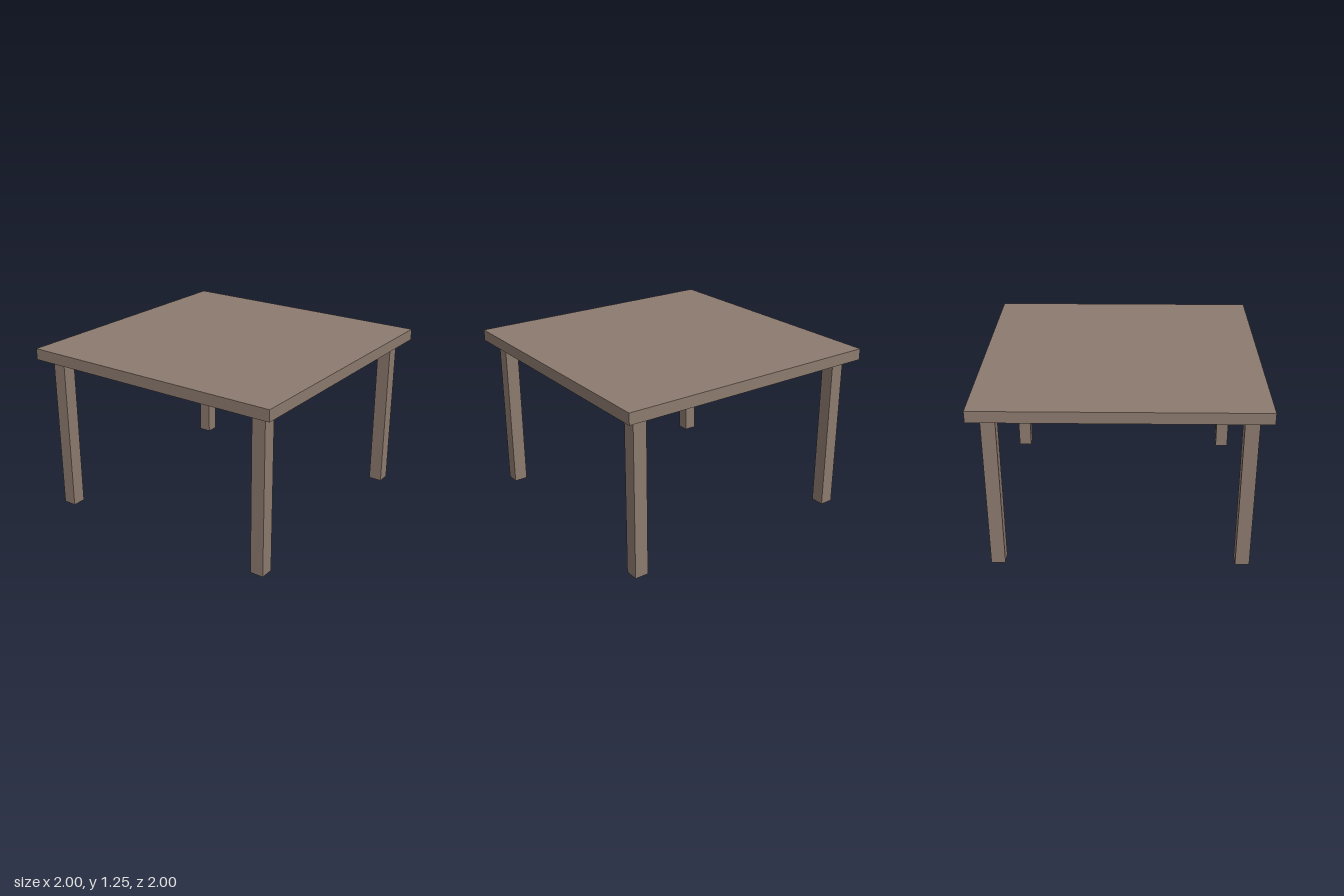
import * as THREE from 'three';

const SIZE = 2, HEIGHT = 1.25, TOP_THICKNESS = 0.083;
const LEG_WIDTH = 0.1, LEG_OFFSET = 0.867;
const LEG_HEIGHT = HEIGHT - TOP_THICKNESS;

export function createModel() {
  const table = new THREE.Group();
  table.name = 'table';
  const wood = new THREE.MeshStandardMaterial({ color: 0x8c7a6e });

  // Square slab top
  const top = new THREE.Mesh(new THREE.BoxGeometry(SIZE, TOP_THICKNESS, SIZE), wood);
  top.name = 'tableTop';
  top.position.y = HEIGHT - TOP_THICKNESS / 2;
  table.add(top);

  // Four square legs, inset from the corners
  const legGeometry = new THREE.BoxGeometry(LEG_WIDTH, LEG_HEIGHT, LEG_WIDTH);
  for (const [zName, z] of [['front', 1], ['back', -1]]) {
    for (const [xName, x] of [['Left', 1], ['Right', -1]]) {
      const leg = new THREE.Mesh(legGeometry, wood);
      leg.name = `${zName}${xName}Leg`;
      leg.position.set(x * LEG_OFFSET, LEG_HEIGHT / 2, z * LEG_OFFSET);
      table.add(leg);
    }
  }
  return table;
}
